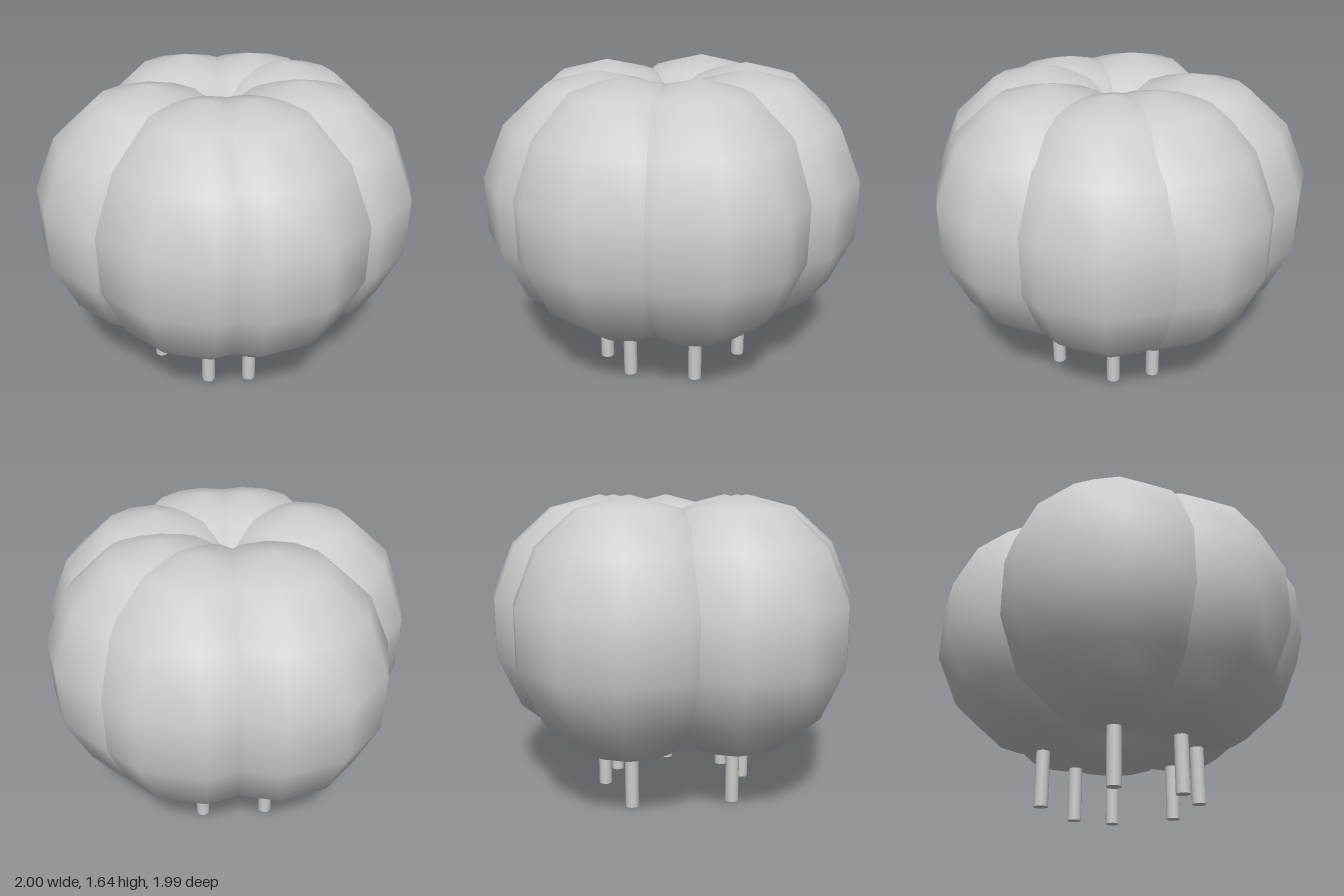
import * as THREE from 'three';

export function createModel() {
  const model = new THREE.Group();
  model.name = 'lobedPod';

  const grey = new THREE.MeshStandardMaterial({ color: 0xcccccc });
  grey.name = 'grey';

  const lobeCount = 7;
  const ringRadius = 0.405;
  const goldenAngle = THREE.MathUtils.degToRad(137.5);

  // Smooth-shaded, coarse lobes, slightly taller than wide
  const lobeGeometry = new THREE.SphereGeometry(0.6135, 12, 7);
  // Thin legs, running up into the lobes
  const legHeight = 0.5;
  const legGeometry = new THREE.CylinderGeometry(0.037, 0.037, legHeight, 12);

  // Each lobe stands on its own leg, spaced round the ring by the golden angle
  for (let i = 0; i < lobeCount; i++) {
    const angle = i * goldenAngle;
    const x = ringRadius * Math.cos(angle) - 0.003;
    const z = ringRadius * Math.sin(angle) + 0.006;

    const lobe = new THREE.Mesh(lobeGeometry, grey);
    lobe.name = `lobe${i + 1}`;
    lobe.position.set(x, 0.965, z);
    lobe.scale.y = 1.108;

    const leg = new THREE.Mesh(legGeometry, grey);
    leg.name = `leg${i + 1}`;
    leg.position.set(x, legHeight / 2, z);

    model.add(lobe, leg);
  }
  return model;
}
